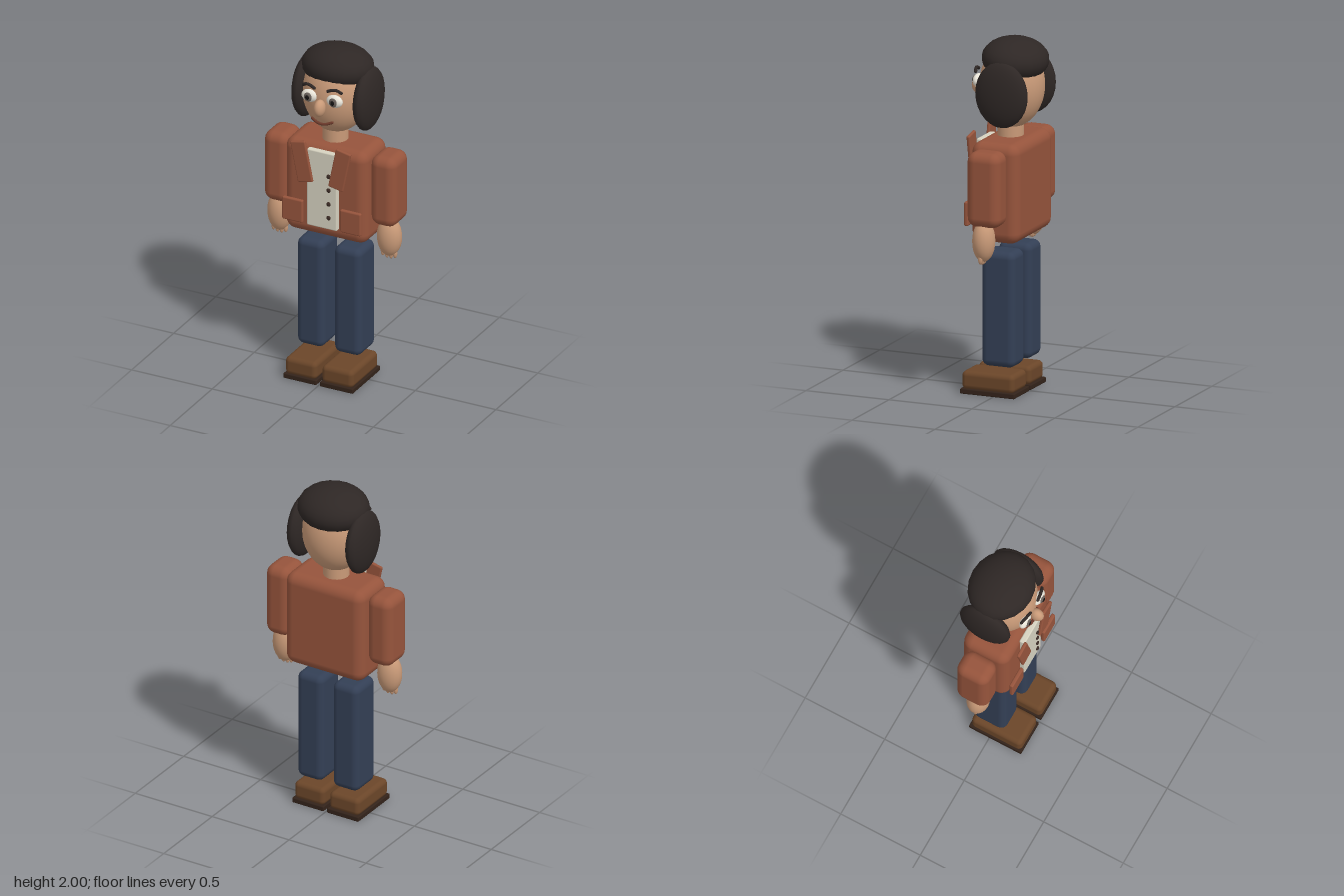
import * as THREE from 'three';
import { RoundedBoxGeometry } from 'three/addons/geometries/RoundedBoxGeometry.js';

const mat = (color) => new THREE.MeshStandardMaterial({ color });
const M = {
  skin: mat(0xc99a78), hair: mat(0x2e2725), jacket: mat(0x96543c), shirt: mat(0xd6d2c0),
  jeans: mat(0x333f55), shoe: mat(0x6b4629), sole: mat(0x33231a), dark: mat(0x3a2a24),
  white: mat(0xe8e4d8), iris: mat(0x6a625c), pupil: mat(0x141212), mouth: mat(0x6e3b2c),
};

export function createModel() {
  const model = new THREE.Group();
  model.name = 'standingMan';

  const add = (name, geometry, material, pos = [0, 0, 0]) => {
    const mesh = new THREE.Mesh(geometry, material);
    mesh.name = name;
    mesh.position.set(...pos);
    model.add(mesh);
    return mesh;
  };
  const box = (name, material, size, pos, radius, seg = 3) =>
    add(name, new RoundedBoxGeometry(...size, seg, radius), material, pos);
  const ball = (name, material, radii, pos, w = 24, h = 16) =>
    add(name, new THREE.SphereGeometry(1, w, h).scale(...radii), material, pos);
  const tube = (name, material, points, radius) => {
    const curve = new THREE.CatmullRomCurve3(points.map((p) => new THREE.Vector3(...p)));
    const mesh = add(name, new THREE.TubeGeometry(curve, 12, radius, 8), material);
    // rounded tube ends
    for (const p of [points[0], points[points.length - 1]])
      ball(name + 'End', material, [radius, radius, radius], p, 8, 6);
    return mesh;
  };

  // Head and neck
  add('neck', new THREE.CylinderGeometry(0.073, 0.073, 0.14, 20), M.skin, [0, 1.47, -0.01]);
  ball('head', M.skin, [0.19, 0.24, 0.18], [0, 1.73, -0.02], 32, 24);
  ball('nose', M.skin, [0.032, 0.05, 0.042], [0, 1.707, 0.18], 16, 12);
  tube('mouth', M.mouth, [[-0.062, 1.618, 0.148], [-0.03, 1.606, 0.158], [0, 1.602, 0.161],
    [0.03, 1.606, 0.158], [0.062, 1.618, 0.148]], 0.008);

  // Hair: cap tilted back
  ball('hairCap', M.hair, [0.207, 0.12, 0.184], [0, 1.88, -0.04], 20, 14).rotation.x = -0.1;

  // Jacket body and shirt front
  box('jacketBody', M.jacket, [0.51, 0.565, 0.287], [0, 1.1625, -0.0165], 0.06);
  box('shirtFront', M.shirt, [0.187, 0.47, 0.035], [0, 1.19, 0.138], 0.008, 2);
  for (let i = 0; i < 4; i++) {
    ball('shirtButton', M.dark, [0.013, 0.013, 0.008], [0.045, 1.285 - i * 0.085, 0.16], 10, 8);
  }

  // Mirrored parts
  for (const s of [-1, 1]) {
    const side = s > 0 ? 'left' : 'right';

    // Face
    ball(side + 'Eye', M.white, [0.049, 0.037, 0.026], [s * 0.078, 1.755, 0.15], 20, 14);
    ball(side + 'Iris', M.iris, [0.024, 0.027, 0.009], [s * 0.078, 1.755, 0.172], 16, 10);
    ball(side + 'Pupil', M.pupil, [0.012, 0.014, 0.005], [s * 0.078, 1.755, 0.18], 12, 8);
    tube(side + 'Eyebrow', M.hair, [[s * 0.042, 1.814, 0.163], [s * 0.07, 1.826, 0.161],
      [s * 0.095, 1.826, 0.156], [s * 0.118, 1.812, 0.148]], 0.009);

    // Side hair
    ball(side + 'SideHair', M.hair, [0.06, 0.187, 0.156], [s * 0.19, 1.714, -0.04], 18, 14);

    // Jacket trim
    box(side + 'Lapel', M.jacket, [0.094, 0.246, 0.02], [s * 0.118, 1.345, 0.165], 0.008, 2)
      .rotation.z = -s * 0.2;
    box(side + 'Pocket', M.jacket, [0.128, 0.138, 0.024], [s * 0.18, 1.03, 0.152], 0.009, 2);

    // Arm and hand
    box(side + 'Sleeve', M.jacket, [0.158, 0.425, 0.2], [s * 0.331, 1.2125, -0.015], 0.055);
    ball(side + 'Hand', M.skin, [0.072, 0.118, 0.063], [s * 0.34, 0.917, 0], 20, 14);
    for (let i = 0; i < 4; i++) {
      ball(side + 'Finger', M.skin, [0.013, 0.033, 0.014],
        [s * (0.302 + i * 0.025), 0.82 - (i % 3 ? 0.004 : -0.004), 0.004], 10, 8);
    }

    // Leg and shoe
    box(side + 'TrouserLeg', M.jeans, [0.168, 0.655, 0.2], [s * 0.115, 0.4925, -0.015], 0.04);
    box(side + 'Shoe', M.shoe, [0.195, 0.105, 0.315], [s * 0.1135, 0.0765, 0.038], 0.028);
    box(side + 'Sole', M.sole, [0.205, 0.03, 0.328], [s * 0.1135, 0.015, 0.036], 0.006, 2);
  }

  return model;
}
